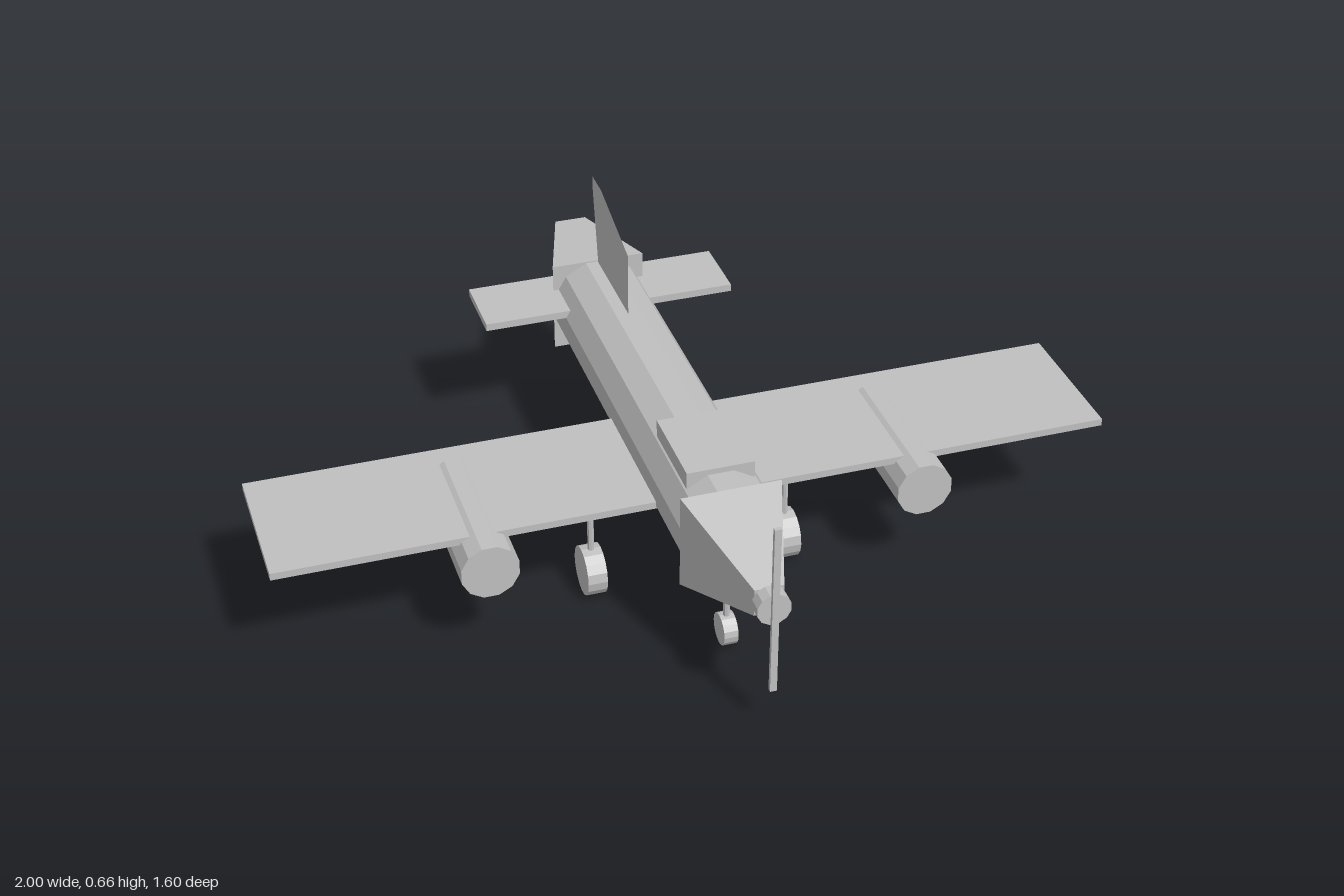
import * as THREE from 'three';

export function createModel() {
  const plane = new THREE.Group();
  plane.name = 'propellerPlane';

  const grey = new THREE.MeshStandardMaterial({ color: 0xc0c0c0, flatShading: true, side: THREE.DoubleSide });
  grey.name = 'plainGrey';

  const add = (name, geometry, x = 0, y = 0, z = 0) => {
    const mesh = new THREE.Mesh(geometry, grey);
    mesh.name = name;
    mesh.position.set(x, y, z);
    plane.add(mesh);
    return mesh;
  };

  // Cylinder lying along z with a flat facet on top
  const rod = (radius, length, sides = 12) =>
    new THREE.CylinderGeometry(radius, radius, length, sides)
      .rotateY(Math.PI / sides)
      .rotateX(Math.PI / 2);

  // Square block tapering between two rectangles { z, w, y0, y1 }
  const taper = (front, back) => {
    const geometry = new THREE.BoxGeometry(2, 2, 2);
    const p = geometry.attributes.position;
    for (let i = 0; i < p.count; i++) {
      const end = p.getZ(i) > 0 ? front : back;
      p.setXYZ(i, p.getX(i) * end.w, p.getY(i) > 0 ? end.y1 : end.y0, end.z);
    }
    geometry.computeVertexNormals();
    return geometry;
  };

  // Body
  const axisY = 0.322;
  add('fuselage', rod(0.119, 1.04), 0, axisY, -0.02);
  add('nose', taper(
    { z: 0.755, w: 0.034, y0: 0.288, y1: 0.356 },
    { z: 0.5, w: 0.118, y0: 0.204, y1: 0.44 }));
  add('tailCone', taper(
    { z: -0.54, w: 0.118, y0: 0.204, y1: 0.44 },
    { z: -0.797, w: 0.04, y0: 0.303, y1: 0.42 }));
  add('canopy', new THREE.BoxGeometry(0.16, 0.042, 0.22), 0, 0.43, 0.32);

  // Propeller
  add('propellerHub', rod(0.04, 0.035), 0, axisY, 0.772);
  add('propellerBlade', new THREE.BoxGeometry(0.016, 0.436, 0.01), 0, axisY, 0.794);

  // Wings and tail surfaces
  add('wing', new THREE.BoxGeometry(2, 0.018, 0.356), 0, 0.294, 0.138);
  add('tailplane', new THREE.BoxGeometry(0.64, 0.019, 0.177), 0, 0.363, -0.521);

  // Paper-thin fin, drawn as (-z, y) and turned upright along the body
  const fin = new THREE.Shape([
    [0.275, 0.42], [0.275, 0.6], [0.5, 0.662], [0.577, 0.662], [0.575, 0.625], [0.532, 0.42],
  ].map(([x, y]) => new THREE.Vector2(x, y)));
  add('fin', new THREE.ShapeGeometry(fin).rotateY(Math.PI / 2));

  // Landing gear: a wheel and an upright strut
  const gear = (name, x, z, radius, width, top) => {
    add(name + 'Wheel', new THREE.CylinderGeometry(radius, radius, width, 16).rotateZ(Math.PI / 2), x, radius, z);
    add(name + 'Strut', new THREE.CylinderGeometry(0.008, 0.008, top - radius, 8), x, (top + radius) / 2, z);
  };
  gear('nose', 0, 0.483, 0.039, 0.034, 0.22);

  // Mirrored pods and main gear
  for (const [side, s] of [['left', 1], ['right', -1]]) {
    add(side + 'EnginePod', rod(0.069, 0.358), s * 0.521, 0.243, 0.201);
    gear(side + 'Main', s * 0.24, 0.204, 0.06, 0.047, 0.225);
  }

  return plane;
}
